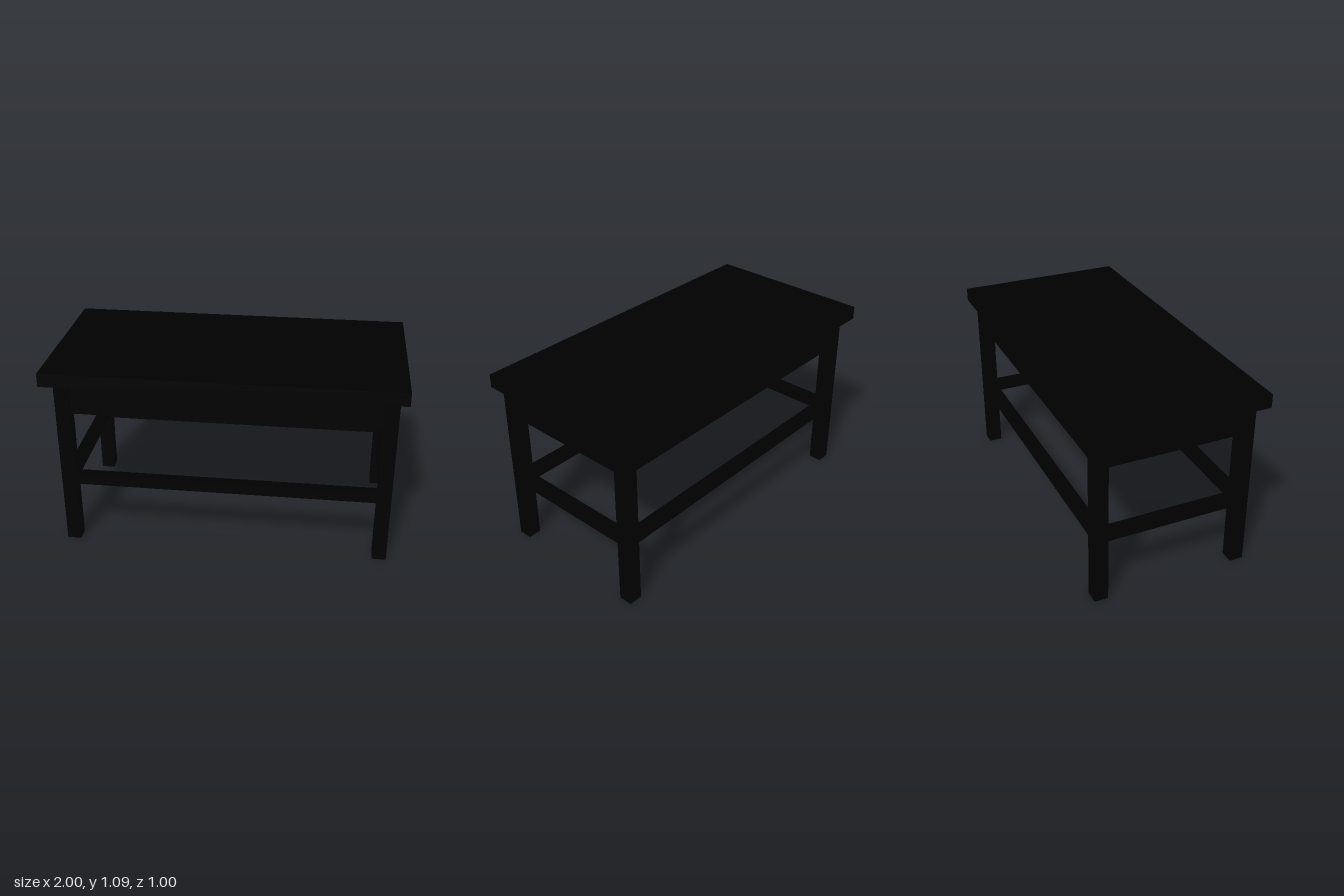
import * as THREE from 'three';

export function createModel() {
  const table = new THREE.Group();
  table.name = 'table';
  const material = new THREE.MeshStandardMaterial({ color: 0x000000 });

  // Box given by its size, its centre on the floor plan and its underside
  function addBox(name, width, height, depth, x, bottom, z) {
    const mesh = new THREE.Mesh(new THREE.BoxGeometry(width, height, depth), material);
    mesh.name = name;
    mesh.position.set(x, bottom + height / 2, z);
    table.add(mesh);
  }

  const legSize = 0.08, legHeight = 1.01;
  const legX = 0.901, legZ = 0.42; // leg centres from the middle of the frame
  const midX = 0.013, midZ = 0.003; // the frame sits slightly off the top's middle
  const railSize = 0.062, railBottom = 0.375;

  // Overhanging slab
  addBox('tableTop', 2, 0.078, 1.005, 0, legHeight, 0);

  // Deep closed body under the top, set back from the leg faces
  addBox('apron', 1.83, 0.19, 0.857, midX, 0.82, midZ);

  // Legs
  for (const sx of [-1, 1]) {
    for (const sz of [-1, 1]) {
      const name = (sz > 0 ? 'front' : 'back') + (sx > 0 ? 'Left' : 'Right') + 'Leg';
      addBox(name, legSize, legHeight, legSize, midX + sx * legX, 0, midZ + sz * legZ);
    }
  }

  // Stretchers running between the legs
  for (const s of [-1, 1]) {
    addBox(s > 0 ? 'frontStretcher' : 'backStretcher',
      2 * legX - legSize, railSize, railSize, midX, railBottom, midZ + s * legZ);
    addBox(s > 0 ? 'leftStretcher' : 'rightStretcher',
      railSize, railSize, 2 * legZ - legSize, midX + s * legX, railBottom, midZ);
  }

  return table;
}
